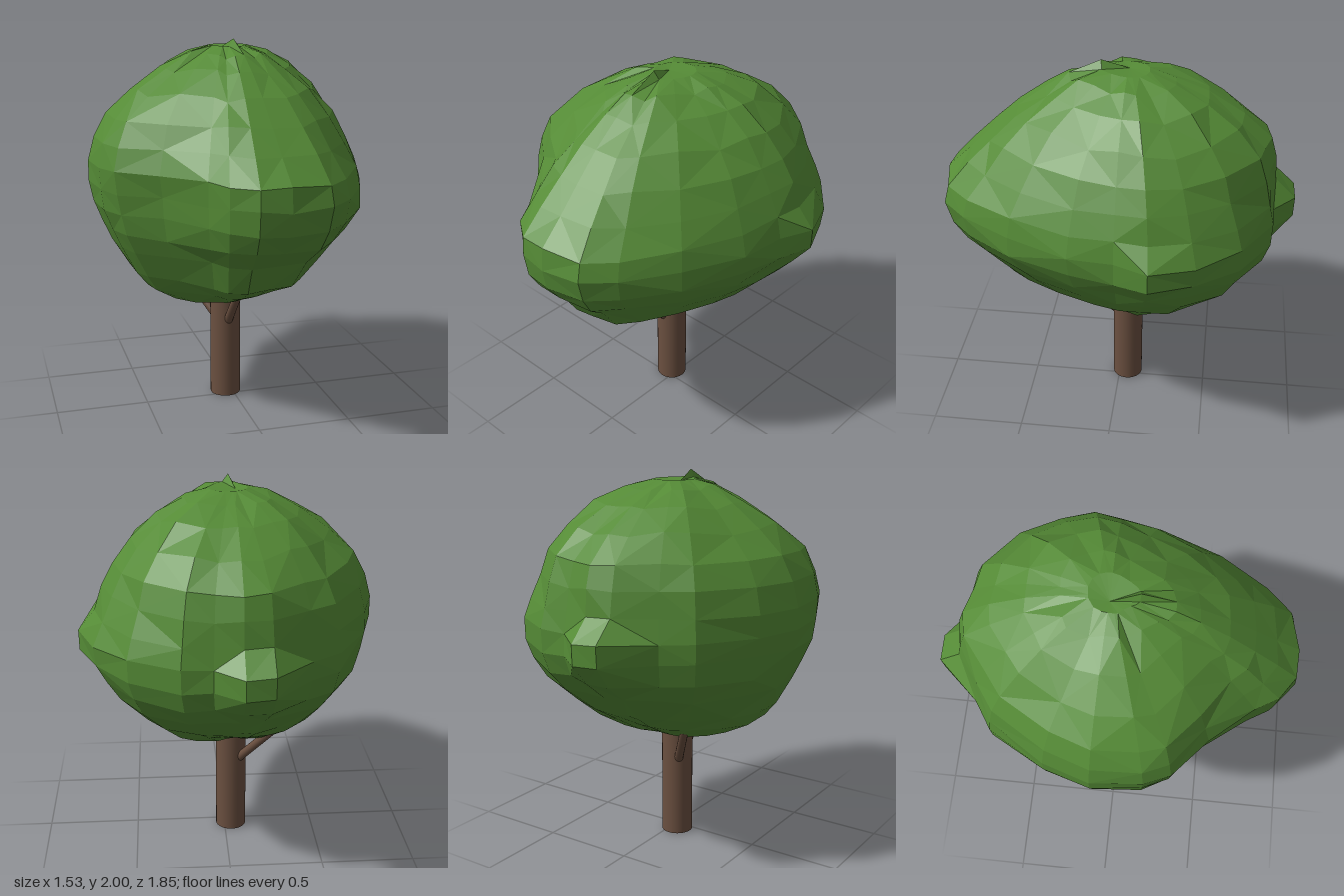
import * as THREE from 'three';

const CX = -0.037, CZ = -0.046; // trunk axis

// Widest outline of the crown without its knobs, [x, z], back -> left -> front -> right
const outline = [
  [-0.04, -0.82], [0.1, -0.81], [0.25, -0.8], [0.5, -0.65], [0.65, -0.43], [0.71, -0.22],
  [0.69, -0.05], [0.65, 0.18], [0.53, 0.5], [0.36, 0.75], [0.23, 0.88], [0.02, 0.92],
  [-0.13, 0.91], [-0.25, 0.82], [-0.32, 0.7], [-0.5, 0.48], [-0.69, 0.31], [-0.75, 0.18],
  [-0.77, -0.08], [-0.7, -0.32], [-0.53, -0.62], [-0.38, -0.71], [-0.18, -0.82],
];

// Crown levels: y, then the reach from the axis in eight directions, +x turning towards +z
const levels = [
  [0.60, 0.13, 0.13, 0.16, 0.12, 0.11, 0.10, 0.10, 0.14],
  [0.64, 0.23, 0.23, 0.29, 0.38, 0.32, 0.27, 0.18, 0.30],
  [0.72, 0.37, 0.37, 0.50, 0.49, 0.46, 0.40, 0.33, 0.43],
  [0.80, 0.46, 0.50, 0.67, 0.55, 0.53, 0.48, 0.46, 0.54],
  [0.95, 0.60, 0.64, 0.76, 0.62, 0.62, 0.62, 0.64, 0.69],
  [1.05, 0.67, 0.73, 0.88, 0.66, 0.67, 0.69, 0.74, 0.76],
  [1.16, 0.73, 0.80, 0.95, 0.69, 0.71, 0.73, 0.77, 0.79],
  [1.27, 0.74, 0.81, 0.97, 0.70, 0.73, 0.74, 0.77, 0.79],
  [1.38, 0.71, 0.78, 0.96, 0.72, 0.73, 0.72, 0.76, 0.75],
  [1.50, 0.66, 0.71, 0.83, 0.70, 0.70, 0.68, 0.75, 0.70],
  [1.62, 0.60, 0.62, 0.70, 0.65, 0.63, 0.62, 0.72, 0.65],
  [1.75, 0.50, 0.50, 0.57, 0.52, 0.50, 0.50, 0.58, 0.56],
  [1.86, 0.37, 0.36, 0.42, 0.35, 0.34, 0.37, 0.40, 0.43],
  [1.93, 0.24, 0.23, 0.31, 0.21, 0.18, 0.24, 0.23, 0.27],
  [1.96, 0.12, 0.12, 0.14, 0.09, 0.08, 0.09, 0.10, 0.12],
];

// Knobs on the back and left: outline index -> [dx, dz], and their strength per level
const knobs = { 0: [0, -0.1], 22: [0, -0.1], 5: [0.05, 0], 4: [0.02, -0.01] };
const knobStrength = { 5: 0.4, 6: 1, 7: 1 };

function seeded(seed) {
  return () => {
    seed = (seed * 16807) % 2147483647;
    return seed / 2147483647 - 0.5;
  };
}

// Lumpy crown: the outline is scaled at each level by the reach in its direction
function crownGeometry() {
  const rand = seeded(77);
  const n = outline.length, last = levels.length - 1;
  const widest = [0, 1, 2, 3, 4, 5, 6, 7].map((d) => Math.max(...levels.map((l) => l[d + 1])));
  const pos = [], idx = [];
  levels.forEach(([y, ...reach], j) => {
    outline.forEach(([ox, oz], i) => {
      const dx = ox - CX, dz = oz - CZ;
      const turn = (Math.atan2(dz, dx) / (Math.PI / 4) + 8) % 8;
      const d0 = Math.floor(turn) % 8, d1 = (d0 + 1) % 8;
      const part = THREE.MathUtils.lerp(reach[d0] / widest[d0], reach[d1] / widest[d1], turn % 1);
      const f = part * (1 + 0.02 * rand());
      // pleats run down from the crown's tip
      const pleat = j > 10 && j < last && i % 3 === 1 ? -0.02 : 0;
      const tip = j === last && i === 11 ? 0.04 : 0;
      const lift = j > 1 && j < last ? 0.02 * rand() : 0;
      const [kx, kz] = knobs[i] || [0, 0];
      const k = knobStrength[j] || 0;
      pos.push(CX + dx * f + kx * k, y + lift + pleat + tip, CZ + dz * f + kz * k);
    });
  });
  const bottom = pos.length / 3, top = bottom + 1;
  pos.push(CX, 0.63, CZ, CX - 0.02, 1.95, CZ);
  for (let i = 0; i < n; i++) {
    const k = (i + 1) % n;
    idx.push(bottom, i, k, last * n + i, top, last * n + k);
    for (let j = 0; j < last; j++) {
      const a = j * n + i, b = j * n + k;
      // alternate the diagonal so facets do not line up
      if ((i + j) % 2) idx.push(a, a + n, b, b, a + n, b + n);
      else idx.push(a, a + n, b + n, a, b + n, b);
    }
  }
  const geo = new THREE.BufferGeometry();
  geo.setAttribute('position', new THREE.Float32BufferAttribute(pos, 3));
  geo.setIndex(idx);
  const flat = geo.toNonIndexed();
  flat.computeVertexNormals();
  return flat;
}

export function createModel() {
  const model = new THREE.Group();
  model.name = 'tree';
  const bark = new THREE.MeshStandardMaterial({ color: 0x6b5040 });
  const leaves = new THREE.MeshStandardMaterial({ color: 0x558b36, flatShading: true });

  const add = (name, geometry, material) => {
    const mesh = new THREE.Mesh(geometry, material);
    mesh.name = name;
    model.add(mesh);
    return mesh;
  };

  add('crown', crownGeometry(), leaves);
  add('trunk', new THREE.CylinderGeometry(0.084, 0.084, 0.7, 32), bark).position.set(CX, 0.35, CZ);

  // Branches lean out of the trunk into the crown
  const branch = (name, dx, dz) => {
    const from = new THREE.Vector3(CX, 0.38, CZ);
    const to = new THREE.Vector3(CX + dx, 0.69, CZ + dz);
    const dir = to.clone().sub(from);
    const mesh = add(name, new THREE.CylinderGeometry(0.022, 0.025, dir.length(), 16), bark);
    mesh.position.copy(from).add(to).multiplyScalar(0.5);
    mesh.quaternion.setFromUnitVectors(new THREE.Vector3(0, 1, 0), dir.normalize());
  };
  branch('frontBranch', 0, 0.29);
  branch('backBranch', -0.2, -0.23);

  return model;
}
